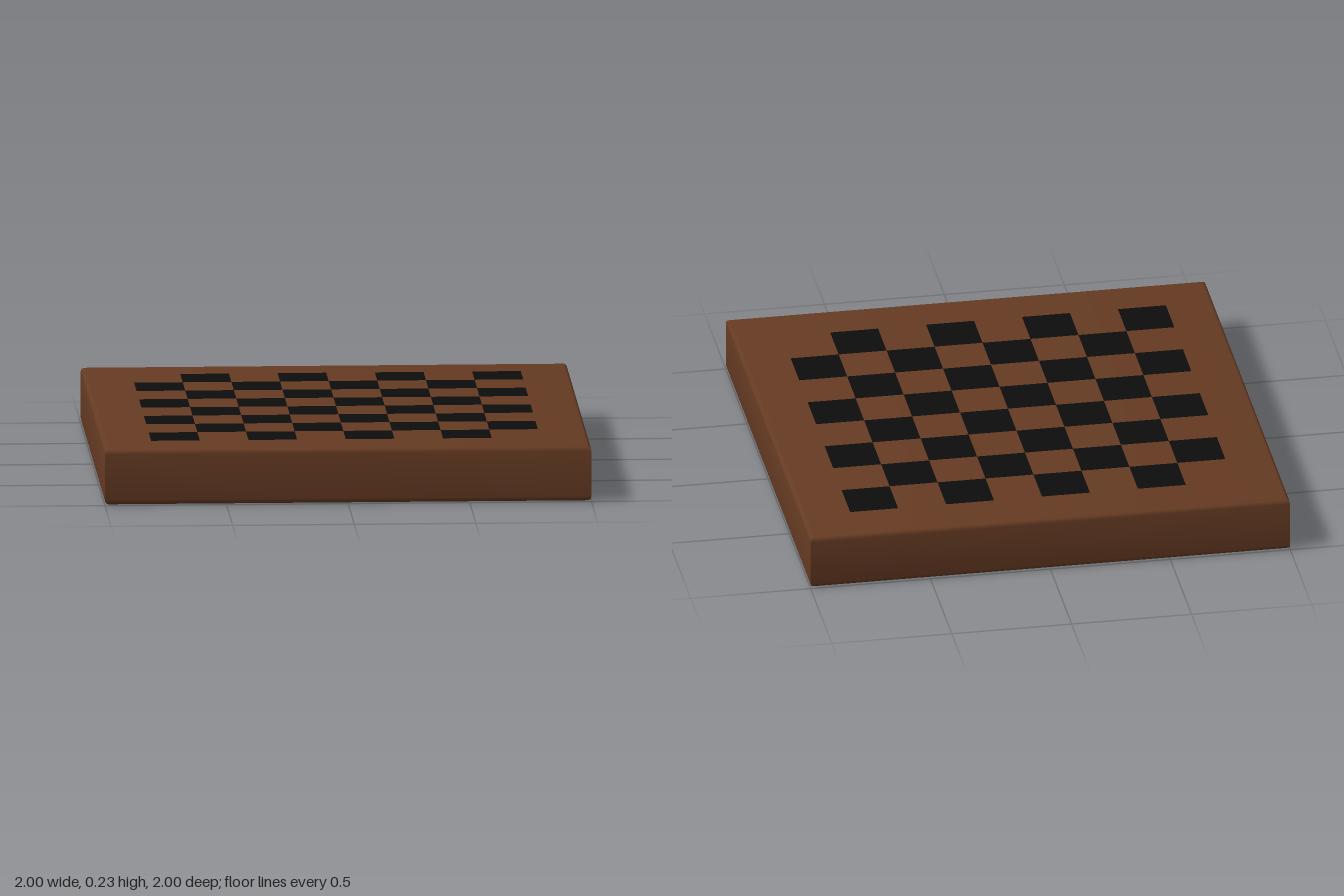
import * as THREE from 'three';
import { toCreasedNormals } from 'three/addons/utils/BufferGeometryUtils.js';

const HALF = 1, HEIGHT = 0.23, ROUND = 0.02, CELL = 0.2, LIFT = 0.002;

// Square slab: rounded top and bottom edges, crisp mitred upright corners
function slabGeometry() {
  const profile = [[0, 0]];
  const steps = 4;
  for (const [cy, start] of [[ROUND, -Math.PI / 2], [HEIGHT - ROUND, 0]]) {
    for (let i = 0; i <= steps; i++) {
      const a = start + (i / steps) * Math.PI / 2;
      profile.push([HALF - ROUND + ROUND * Math.cos(a), cy + ROUND * Math.sin(a)]);
    }
  }
  profile.push([0, HEIGHT]);
  const points = profile.map(([r, y]) => new THREE.Vector2(r * Math.SQRT2, y));
  const lathe = new THREE.LatheGeometry(points, 4, Math.PI / 4);
  return toCreasedNormals(lathe, 0.7);
}

export function createModel() {
  const brown = new THREE.MeshStandardMaterial({ color: 0x663b23 });
  brown.name = 'brown wood';
  const black = new THREE.MeshStandardMaterial({ color: 0x0d0d0d });
  black.name = 'black squares';

  const board = new THREE.Group();
  board.name = 'checkerboard';

  const slab = new THREE.Mesh(slabGeometry(), brown);
  slab.name = 'boardSlab';
  board.add(slab);

  // Dark squares, in the same places on the top and the underside
  const square = new THREE.PlaneGeometry(CELL, CELL);
  for (const [side, y, tilt] of [['top', HEIGHT + LIFT, -1], ['bottom', -LIFT, 1]]) {
    const squares = new THREE.Group();
    squares.name = side + 'Squares';
    for (let row = 0; row < 8; row++) {
      for (let col = 0; col < 8; col++) {
        if ((row + col) % 2 === 0) continue;
        const mesh = new THREE.Mesh(square, black);
        mesh.name = side + 'DarkSquare';
        mesh.rotation.x = tilt * Math.PI / 2;
        mesh.position.set((col - 3.5) * CELL, y, (row - 3.5) * CELL);
        squares.add(mesh);
      }
    }
    board.add(squares);
  }
  return board;
}
